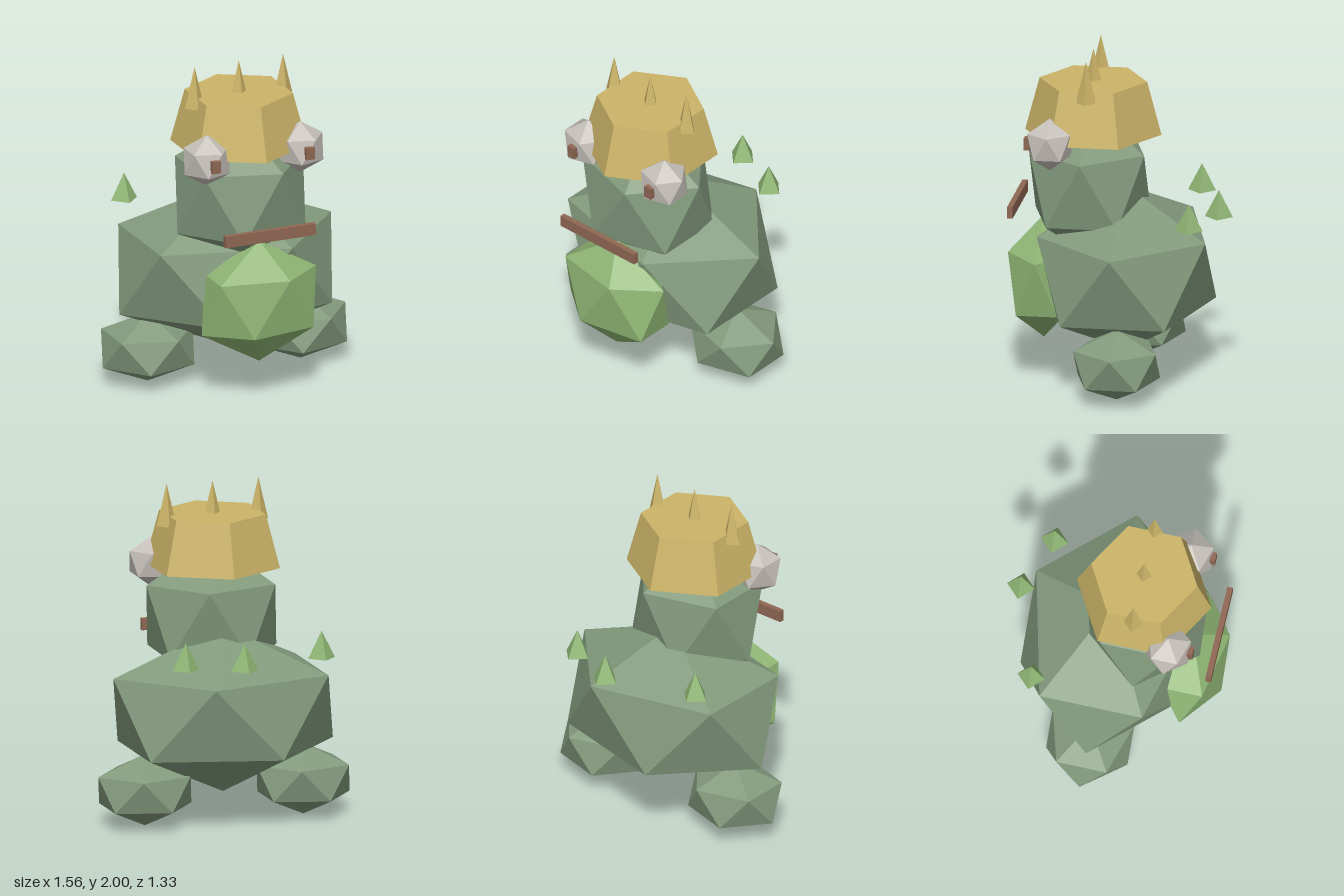
import * as THREE from 'three';
import { ConvexGeometry } from 'three/addons/geometries/ConvexGeometry.js';

const flat = (name, color) => {
  const m = new THREE.MeshStandardMaterial({ color, flatShading: true });
  m.name = name;
  return m;
};

// Twenty-sided boulder with poles on y, scaled per axis
function boulder(rx, ry, rz) {
  const h = 1 / Math.sqrt(5), r = 2 * h;
  const points = [new THREE.Vector3(0, ry, 0), new THREE.Vector3(0, -ry, 0)];
  for (let i = 0; i < 5; i++) {
    for (const side of [1, -1]) {
      const a = (i * 2 * Math.PI) / 5 + (side < 0 ? Math.PI / 5 : 0);
      points.push(new THREE.Vector3(rx * r * Math.cos(a), ry * h * side, rz * r * Math.sin(a)));
    }
  }
  return new ConvexGeometry(points);
}

export function createModel() {
  const skin = flat('mossGreen', 0x829a7c);
  const leaf = flat('leafGreen', 0x8fb674);
  const gold = flat('gold', 0xccb468);
  const stone = flat('paleStone', 0xc6c0ba);
  const brown = flat('brown', 0x8f6753);

  const model = new THREE.Group();
  model.name = 'crownedCreature';
  const add = (name, geometry, material, x, y, z) => {
    const mesh = new THREE.Mesh(geometry, material);
    mesh.name = name;
    mesh.position.set(x, y, z);
    model.add(mesh);
  };

  // Body masses
  add('body', boulder(0.76, 0.5, 0.588), skin, 0, 0.67, -0.035);
  add('head', boulder(0.45, 0.455, 0.402), skin, 0, 1.186, 0.183);
  add('belly', boulder(0.41, 0.375, 0.232), leaf, 0, 0.597, 0.455);

  // Feet, eyes and pupils
  for (const [side, s] of [['left', 1], ['right', -1]]) {
    add(side + 'Foot', boulder(0.322, 0.213, 0.288), skin, 0.49 * s, 0.216, -0.052);
    add(side + 'Eye', boulder(0.158, 0.158, 0.15), stone, 0.3 * s, 1.488, 0.375);
    add(side + 'Pupil', new THREE.BoxGeometry(0.053, 0.073, 0.033), brown, 0.302 * s, 1.49, 0.509);
  }

  // Mouth bar
  add('mouth', new THREE.BoxGeometry(0.58, 0.07, 0.033), brown, 0, 1.056, 0.613);

  // Crown and its spikes
  add('crown', new THREE.CylinderGeometry(0.32, 0.405, 0.32, 6), gold, 0, 1.648, 0.162);
  for (const x of [-0.284, 0, 0.284]) {
    add('crownSpike', new THREE.ConeGeometry(0.061, 0.253, 4), gold, x, 1.873, 0.162);
  }

  // Spikes behind the back
  for (const [x, z] of [[-0.485, -0.408], [0.052, -0.592], [0.374, -0.463]]) {
    add('backSpike', new THREE.ConeGeometry(0.083, 0.163, 4), leaf, x, 1.1, z);
  }
  return model;
}
